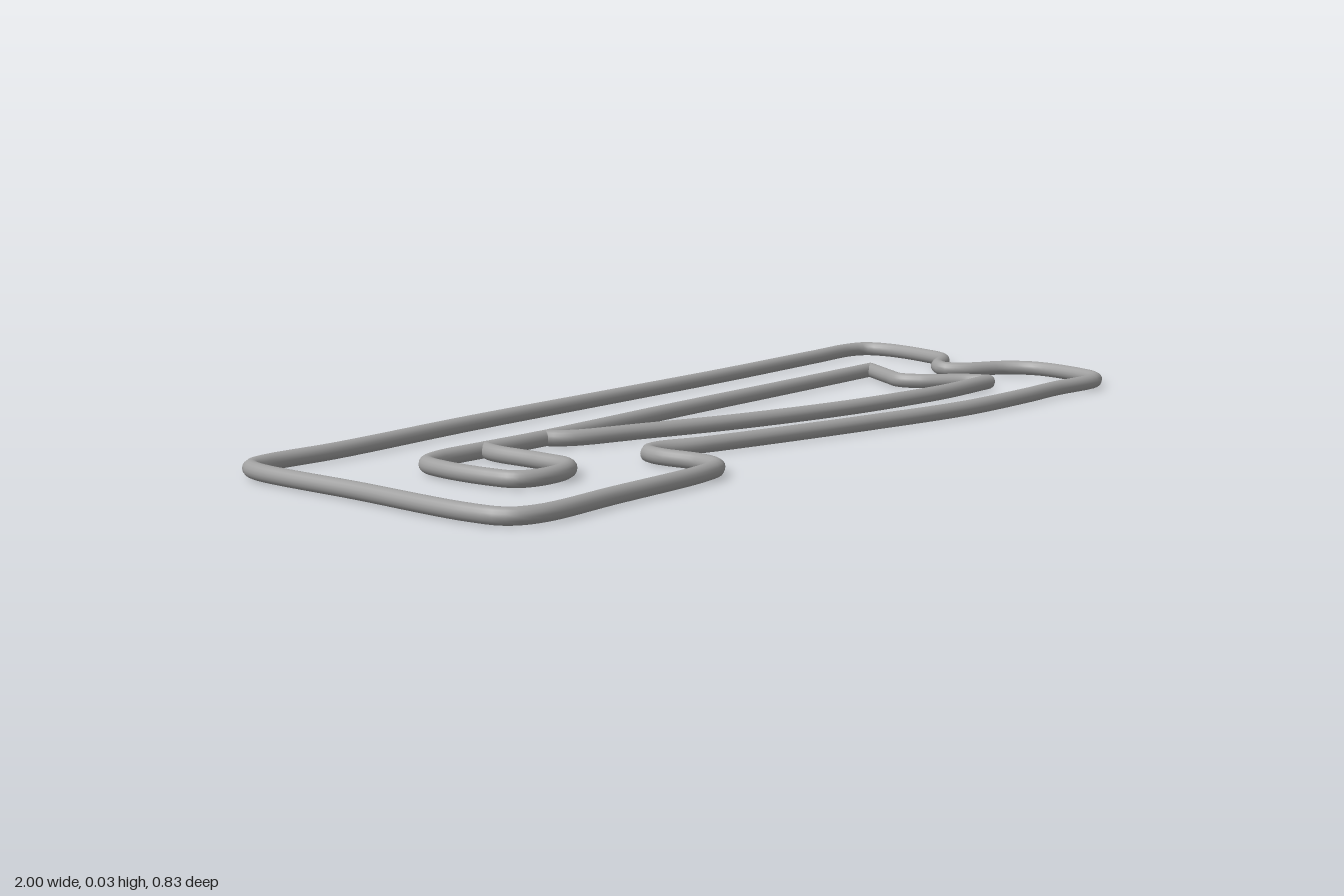
import * as THREE from 'three';

const R = 0.016; // wire radius

// Centre lines as [x, z] points
const OUTLINE = [
  [-0.985, -0.24], [-0.967, -0.28], [-0.92, -0.295], [-0.76, -0.294], [-0.4, -0.325],
  [0.055, -0.346], [0.39, -0.362], [0.78, -0.392], [0.92, -0.402], [0.965, -0.385],
  [0.982, -0.33], [0.965, -0.21], [0.935, -0.135], [0.845, -0.082], [0.824, -0.045],
  [0.85, -0.005], [0.93, 0.045], [0.967, 0.11], [0.937, 0.27], [0.905, 0.303],
  [0.75, 0.302], [0.62, 0.309], [0.4, 0.307], [0.135, 0.265], [-0.13, 0.212],
  [-0.265, 0.18], [-0.355, 0.15], [-0.393, 0.16], [-0.404, 0.2], [-0.395, 0.295],
  [-0.413, 0.348], [-0.465, 0.367], [-0.72, 0.385], [-0.905, 0.396], [-0.955, 0.372],
  [-0.975, 0.3], [-0.98, 0.03],
];
const SPINE = [[0.7, -0.167], [0.35, -0.146], [-0.025, -0.125], [-0.41, -0.095], [-0.57, -0.092]];
const HANDLE = [
  [-0.57, -0.092], [-0.69, -0.087], [-0.738, -0.065], [-0.752, 0], [-0.745, 0.11],
  [-0.73, 0.158], [-0.69, 0.176], [-0.62, 0.169], [-0.585, 0.14], [-0.58, 0.06],
  [-0.583, -0.05], [-0.57, -0.092],
];
const CUTTING_EDGE = [
  [-0.41, -0.095], [-0.375, -0.057], [-0.24, -0.01], [-0.025, 0.06], [0.245, 0.12],
  [0.455, 0.143], [0.565, 0.148], [0.73, 0.138],
];
const NOTCH = [[0.73, 0.138], [0.71, 0.095], [0.64, 0.02], [0.623, -0.025], [0.645, -0.07], [0.7, -0.167]];

export function createModel() {
  const model = new THREE.Group();
  const wire = new THREE.MeshStandardMaterial({ color: 0xa0a0a0 });
  wire.name = 'grey wire';

  const add = (name, geometry) => {
    const mesh = new THREE.Mesh(geometry, wire);
    mesh.name = name;
    model.add(mesh);
    return mesh;
  };

  // A round wire lying flat on the ground plane
  const bend = (name, points, closed = false) => {
    const path = new THREE.CatmullRomCurve3(
      points.map(([x, z]) => new THREE.Vector3(x, R, z)), closed, 'centripetal');
    add(name, new THREE.TubeGeometry(path, points.length * 8, R, 16, closed));
  };

  bend('outerOutline', OUTLINE, true);
  bend('bladeSpine', SPINE);
  bend('handleLoop', HANDLE);
  bend('bladeCuttingEdge', CUTTING_EDGE);
  bend('bladeEndNotch', NOTCH);

  // Rounded joints close the wire ends
  for (const [x, z] of [SPINE[0], SPINE[4], NOTCH[0], CUTTING_EDGE[0]]) {
    add('wireJoint', new THREE.SphereGeometry(R, 16, 12)).position.set(x, R, z);
  }
  return model;
}
